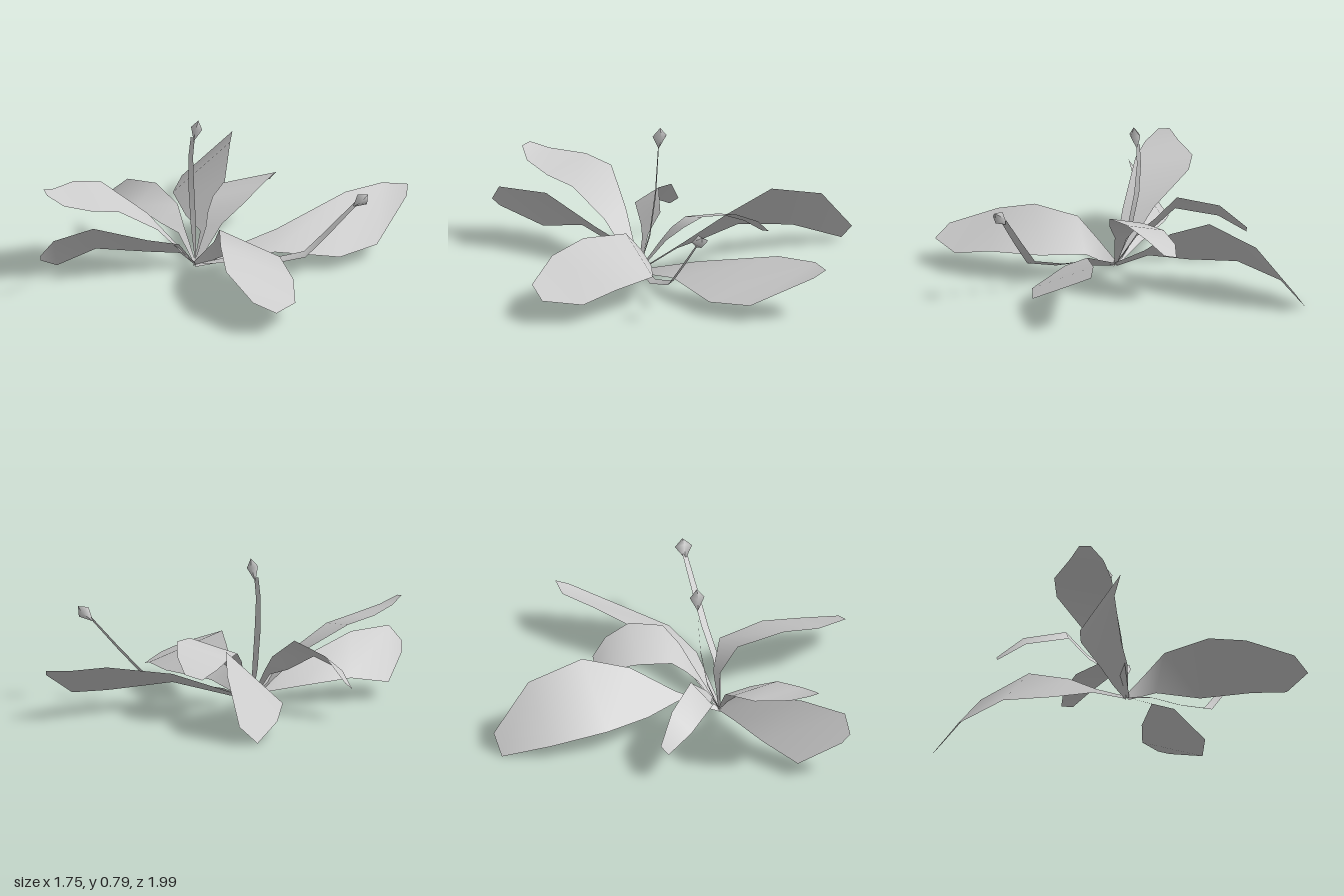
import * as THREE from 'three';

// Ribbon from the common root: each station is a spine point plus its share of the half-width vector
function blade(name, halfWidth, stations, material) {
  const rows = [[-0.14, 0.02, 0.235, 0.08], ...stations];
  const pos = [], index = [];
  rows.forEach(([x, y, z, w], i) => {
    for (const s of [-w, w]) {
      pos.push(x + s * halfWidth[0], y + s * halfWidth[1], z + s * halfWidth[2]);
    }
    const k = 2 * i;
    if (i > 0) index.push(k - 2, k - 1, k, k - 1, k + 1, k);
  });
  const g = new THREE.BufferGeometry();
  g.setAttribute('position', new THREE.Float32BufferAttribute(pos, 3));
  g.setIndex(index);
  g.computeVertexNormals();
  const m = new THREE.Mesh(g, material);
  m.name = name;
  return m;
}

// Pointed four-sided bud
function bud(name, center, size, tilt, material) {
  const profile = [[0.001, -1], [1, 0.25], [0.001, 1]].map(p => new THREE.Vector2(...p));
  const m = new THREE.Mesh(new THREE.LatheGeometry(profile, 4), material);
  m.name = name;
  m.scale.set(...size);
  m.position.set(...center);
  m.rotation.z = tilt;
  return m;
}

export function createModel() {
  const group = new THREE.Group();
  group.name = 'plant';
  const grey = new THREE.MeshStandardMaterial({ color: 0xcccccc, side: THREE.DoubleSide });
  grey.name = 'pale grey';
  const add = (name, halfWidth, ...stations) => group.add(blade(name, halfWidth, stations, grey));

  // Leaves
  add('backLeaf', [0.145, 0.14, -0.04],
    [-0.14, 0.13, 0.01, 0.13], [-0.175, 0.2, -0.2, 0.68], [-0.245, 0.26, -0.45, 1],
    [-0.275, 0.2, -0.75, 0.88], [-0.285, 0.045, -0.975, 0.32]);
  add('innerLeaf', [0.13, 0.04, 0],
    [-0.065, 0.2, 0.125, 0.33], [-0.015, 0.28, 0.065, 0.72], [0.03, 0.345, -0.01, 0.97],
    [0.062, 0.35, -0.18, 1.06], [0.075, 0.3, -0.31, 0.8], [0.085, 0.24, -0.387, 0.35]);
  add('backRightLeaf', [0.025, -0.095, 0.2],
    [0.265, 0.145, 0.125, 0.36], [0.58, 0.17, -0.085, 1],
    [0.745, 0.178, -0.24, 0.95], [0.86, 0.25, -0.405, 0.18]);
  add('frontRightLeaf', [0.19, -0.085, -0.02],
    [0.02, 0.145, 0.25, 0.3], [0.17, 0.22, 0.345, 0.83], [0.26, 0.23, 0.6, 1],
    [0.32, 0.185, 0.8, 0.95], [0.38, 0.158, 0.992, 0.32]);
  add('upperLeftLeaf', [0.075, -0.02, 0.135],
    [-0.36, 0.27, 0.285, 0.55], [-0.575, 0.415, 0.335, 1], [-0.7, 0.45, 0.43, 1],
    [-0.805, 0.487, 0.55, 0.58], [-0.868, 0.53, 0.595, 0.2]);
  add('lowerLeftLeaf', [-0.015, -0.115, -0.115],
    [-0.22, 0.115, 0.26, 0.4], [-0.37, 0.15, 0.335, 0.53], [-0.63, 0.23, 0.47, 0.92],
    [-0.805, 0.21, 0.645, 1.12], [-0.86, 0.23, 0.765, 0.2]);
  add('backLeftLeaf', [0.04, 0.045, -0.045],
    [-0.23, 0.18, 0.165, 0.3], [-0.305, 0.24, 0.108, 0.9], [-0.435, 0.325, 0.082, 1.1],
    [-0.61, 0.275, -0.06, 1], [-0.705, 0.175, -0.17, 0.4]);

  // Upright stalk with its bud
  add('uprightStalk', [0.016, 0, 0.003],
    [-0.165, 0.2, 0.165, 0.9], [-0.185, 0.42, 0.125, 1],
    [-0.19, 0.58, 0.113, 0.8], [-0.18, 0.69, 0.11, 0.7]);
  group.add(bud('uprightBud', [-0.162, 0.73, 0.112], [0.03, 0.062, 0.039], -0.2, grey));

  // Leaning stalk with its bud
  add('leaningStalk', [0.008, -0.008, 0.02],
    [0.02, 0.07, 0.26, 0.8], [0.22, 0.085, 0.29, 0.9], [0.45, 0.15, 0.275, 1],
    [0.57, 0.28, 0.25, 0.9], [0.71, 0.44, 0.22, 0.7]);
  group.add(bud('leaningBud', [0.735, 0.458, 0.22], [0.036, 0.056, 0.046], -0.8, grey));

  return group;
}
